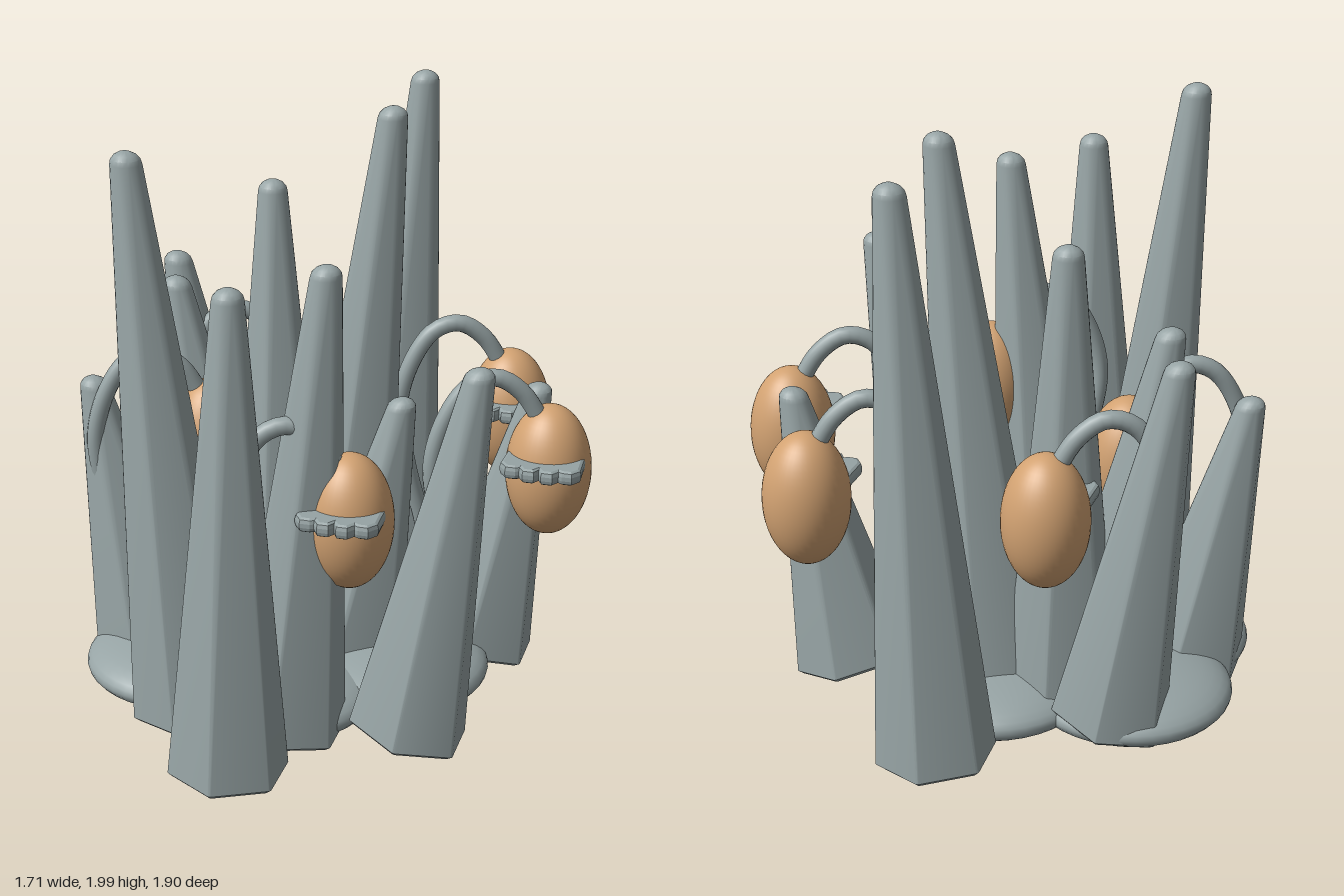
import * as THREE from 'three';
import { toCreasedNormals } from 'three/addons/utils/BufferGeometryUtils.js';

const grey = new THREE.MeshStandardMaterial({ color: 0x97a4a5 });
grey.name = 'stone grey';
const tan = new THREE.MeshStandardMaterial({ color: 0xd2a272 });
tan.name = 'warm tan';

function add(parent, name, geometry, material) {
  const mesh = new THREE.Mesh(geometry, material);
  mesh.name = name;
  parent.add(mesh);
  return mesh;
}

// Leaning hexagonal spike whose rounded corners grow into a domed round tip
function spikeGeometry(x, z, tipX, tipZ, top) {
  const bottom = 0.065 + Math.abs(tipX - x) * 0.16;
  const height = top - bottom;
  const leanX = (tipX - x) / height, leanZ = (tipZ - z) / height;
  // each ring: height, hexagon radius, corner rounding
  const rings = [[0, 0, 0], [0, 0.163, 0.01], [0.014, 0.176, 0.012], [height - 0.04, 0.006, 0.042]];
  for (const a of [0.4, 0.8, 1.2, Math.PI / 2]) {
    rings.push([height - 0.04 + 0.04 * Math.sin(a), 0.006 * Math.cos(a), 0.042 * Math.cos(a)]);
  }
  const positions = [], index = [], steps = 4, count = 6 * steps;
  for (const [y, hex, round] of rings) {
    const fade = 1 - y / height;
    for (let k = 0; k < 6; k++) {
      for (let s = 0; s < steps; s++) {
        const corner = (k * Math.PI) / 3;
        const a = corner + (s / (steps - 1) - 0.5) * (Math.PI / 3);
        const dx = (hex * Math.sin(corner) + round * Math.sin(a)) * 1.05;
        const dz = hex * Math.cos(corner) + round * Math.cos(a);
        positions.push(
          x + dx + leanX * y,
          bottom + y - 1.5 * fade * (leanX * dx + leanZ * dz),
          z + dz + leanZ * y
        );
      }
    }
  }
  for (let i = 0; i < rings.length - 1; i++) {
    for (let j = 0; j < count; j++) {
      const a = i * count + j, b = i * count + ((j + 1) % count);
      index.push(a, b, b + count, a, b + count, a + count);
    }
  }
  const geometry = new THREE.BufferGeometry();
  geometry.setAttribute('position', new THREE.Float32BufferAttribute(positions, 3));
  geometry.setIndex(index);
  return toCreasedNormals(geometry, 0.5);
}

// Flat toothed lip, its scalloped edge pointing forward
function lipGeometry() {
  const shape = new THREE.Shape();
  shape.moveTo(-0.118, -0.05);
  shape.lineTo(-0.122, -0.145);
  const teeth = 4, width = 0.244 / teeth;
  for (let i = 0; i < teeth; i++) {
    const left = -0.122 + i * width;
    const reach = i === 0 || i === teeth - 1 ? 0.17 : 0.188;
    shape.lineTo(left + width * 0.3, -reach);
    shape.lineTo(left + width * 0.7, -reach);
    shape.lineTo(left + width, i === teeth - 1 ? -0.145 : -0.16);
  }
  shape.lineTo(0.118, -0.05);
  shape.closePath();
  const geometry = new THREE.ExtrudeGeometry(shape, {
    depth: 0.014, bevelEnabled: true, bevelSize: 0.012, bevelThickness: 0.017, bevelSegments: 2
  });
  geometry.translate(0, 0, -0.007);
  geometry.rotateX(-Math.PI / 2);
  return geometry;
}

export function createModel() {
  const model = new THREE.Group();
  model.name = 'spikeCluster';

  // Flattened base lobes
  const lobes = [[-0.5, -0.21], [-0.48, 0.15], [-0.05, -0.31], [0.2, 0], [-0.12, 0.27]];
  const lobeGeometry = new THREE.SphereGeometry(1, 40, 20).scale(0.345, 0.1, 0.345);
  for (const [x, z] of lobes) add(model, 'baseLobe', lobeGeometry, grey).position.set(x, 0.11, z);

  // Spikes: base x, base z, tip x, tip z, top
  const spikes = [
    [-0.005, -0.765, 0.115, -0.76, 2],
    [-0.125, 0.762, -0.1, 0.75, 1.7],
    [-0.35, 0.465, -0.52, 0.465, 2],
    [-0.02, 0.465, 0.12, 0.47, 1.7],
    [0.37, 0.4, 0.585, 0.395, 1.39],
    [0.45, -0.28, 0.64, -0.285, 1.085],
    [-0.06, -0.275, 0.13, -0.27, 2],
    [0.04, -0.025, 0.235, -0.03, 1.085],
    [-0.28, -0.28, -0.305, -0.33, 1.7],
    [-0.38, -0.15, -0.595, -0.145, 1.39],
    [-0.48, -0.4, -0.68, -0.395, 1.39],
    [-0.63, 0.075, -0.82, 0.075, 1.085]
  ];
  for (const spike of spikes) add(model, 'spike', spikeGeometry(...spike), grey);

  // Pods hanging from arched stalks
  const pods = [[0.185, 0.445], [0.71, -0.12], [0.48, -0.58], [-0.29, -0.51], [-0.435, -0.025]];
  const arch = new THREE.CatmullRomCurve3([
    [-0.26, -0.7, 0.085], [-0.28, -0.45, 0.095], [-0.33, -0.2, 0.135], [-0.36, 0.03, 0.155],
    [-0.32, 0.2, 0.14], [-0.25, 0.31, 0.11], [-0.17, 0.335, 0.075], [-0.09, 0.28, 0.04], [-0.02, 0.16, 0.01]
  ].map((p) => new THREE.Vector3(...p)));
  const stalkGeometry = new THREE.TubeGeometry(arch, 48, 0.03, 14);
  const podGeometry = new THREE.SphereGeometry(1, 40, 28).scale(0.143, 0.228, 0.143);
  const lip = lipGeometry();
  for (const [x, z] of pods) {
    const group = new THREE.Group();
    group.name = 'hangingPod';
    group.position.set(x, 0.85, z);
    add(group, 'stalk', stalkGeometry, grey);
    add(group, 'pod', podGeometry, tan);
    add(group, 'toothedLip', lip, grey).position.y = 0.05;
    model.add(group);
  }
  return model;
}
